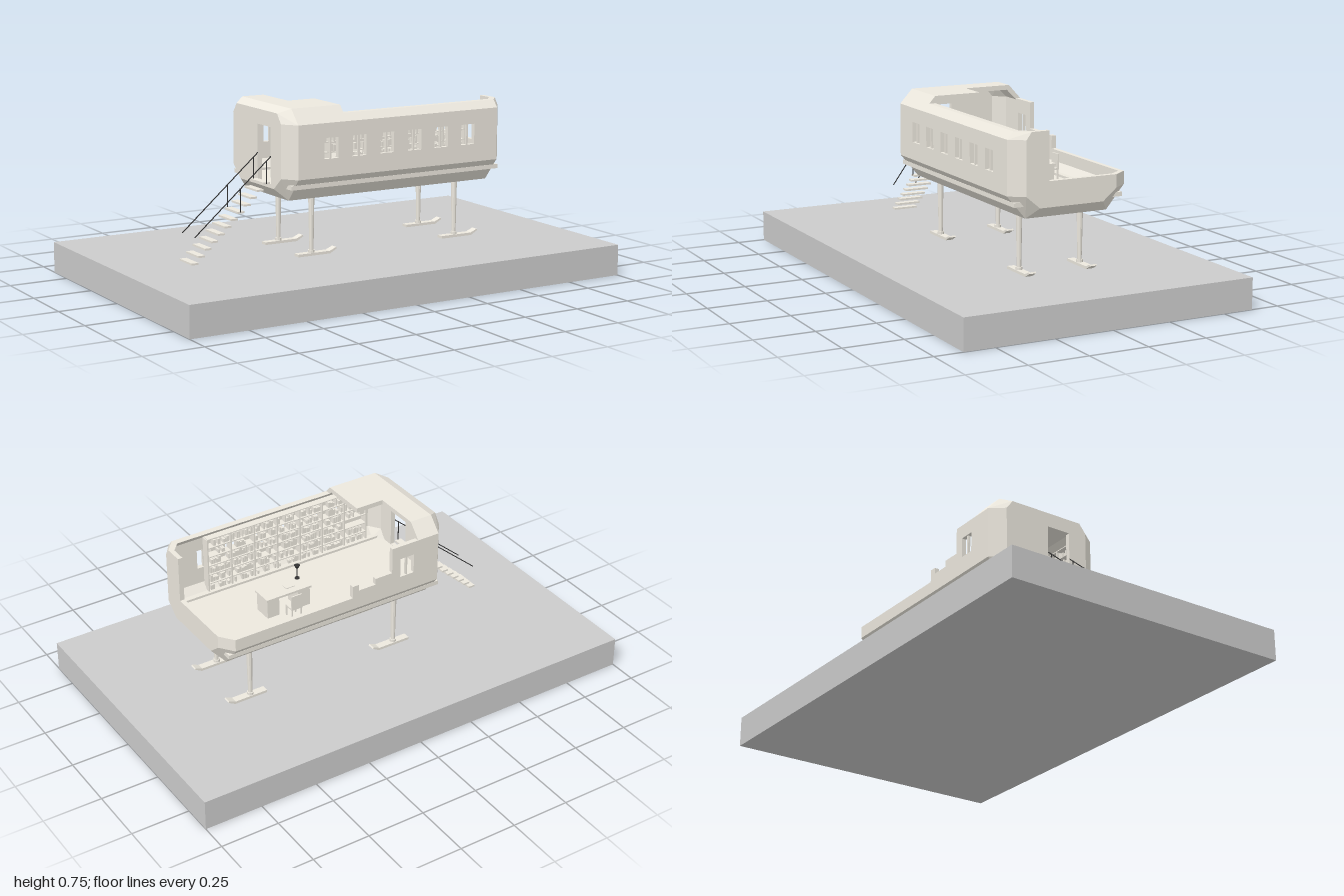
import * as THREE from 'three';
import { mergeGeometries } from 'three/addons/utils/BufferGeometryUtils.js';
import { ConvexGeometry } from 'three/addons/geometries/ConvexGeometry.js';

const mat = (color) => new THREE.MeshStandardMaterial({ color, flatShading: true });
const SHELL = mat(0xece8de), GROUND = mat(0xcccccc), DARK = mat(0x333333);

// Half cross-sections of the cabin as [z, y]: floor edge, wall foot, wall head, roof edge, cut rim, sill
const PROFILE = {
  mid: {
    outer: [[.18, .375], [.26, .47], [.26, .69], [.205, .75], [.2325, .72], [.26, .523]],
    inner: [[.205, .435], [.24, .475], [.24, .685], [.195, .73], [.205, .72], [.24, .523]],
  },
  end: {
    outer: [[.14, .42], [.2, .47], [.2, .69], [.17, .73], [.178, .72], [.2, .523]],
    inner: [[.165, .435], [.19, .475], [.19, .685], [.165, .715], [.165, .72], [.19, .523]],
  },
};
// Stations along x: [outer x, inner x, profile]
const L_END = [-.37, -.35, 'end'], L_MID = [-.325, -.315, 'mid'];
const R_MID = [.635, .625, 'mid'], R_END = [.68, .66, 'end'];
const ROOF_FRONT = [-.1, -.1, 'mid'], ROOF_BACK = [-.225, -.225, 'mid'];

function corners(station, row, side) {
  const [xo, xi, key] = station;
  const [zo, yo] = PROFILE[key].outer[row], [zi, yi] = PROFILE[key].inner[row];
  return [new THREE.Vector3(xo, yo, zo * side), new THREE.Vector3(xi, yi, zi * side)];
}

function shapeOf(points) {
  return new THREE.Shape(points.map(([x, y]) => new THREE.Vector2(x, y)));
}

function rectHole(x0, x1, y0, y1) {
  return new THREE.Path([[x0, y0], [x0, y1], [x1, y1], [x1, y0]].map(([x, y]) => new THREE.Vector2(x, y)));
}

const boxGeo = (x0, x1, y0, y1, z0, z1) => new THREE.BoxGeometry(x1 - x0, y1 - y0, z1 - z0)
  .translate((x0 + x1) / 2, (y0 + y1) / 2, (z0 + z1) / 2);

export function createModel() {
  const model = new THREE.Group();
  const add = (name, geometry, material = SHELL) => {
    const mesh = new THREE.Mesh(geometry, material);
    mesh.name = name;
    model.add(mesh);
    return mesh;
  };
  const box = (name, ...r) => add(name, boxGeo(...r));
  const hull = (name, points) => add(name, new ConvexGeometry(points));
  // Shell panel between two stations and two profile rows on one side
  const panel = (name, side, a, b, i, j) =>
    hull(name, [a, b].flatMap((s) => [i, j].flatMap((row) => corners(s, row, side))));
  const rod = (name, a, b, r, material = SHELL) => {
    const from = new THREE.Vector3(...a), to = new THREE.Vector3(...b), dir = to.clone().sub(from);
    const mesh = add(name, new THREE.CylinderGeometry(r, r, dir.length(), 6), material);
    mesh.position.copy(from).add(to).multiplyScalar(.5);
    mesh.quaternion.setFromUnitVectors(new THREE.Vector3(0, 1, 0), dir.normalize());
  };

  box('ground', -1, 1, 0, .13, -.63, .63).material = GROUND;

  // Floor and lower slopes
  hull('floor', [L_END, L_MID, R_MID, R_END].flatMap((s) => [...corners(s, 0, 1), ...corners(s, 0, -1)]));
  for (const side of [1, -1]) {
    panel('lowerSlope', side, L_MID, R_MID, 0, 1);
    panel('lowerCorner', side, L_END, L_MID, 0, 1);
    panel('lowerCorner', side, R_MID, R_END, 0, 1);
    panel('doorEndCorner', side, L_END, L_MID, 1, 2);
    panel('roofCorner', side, L_END, L_MID, 2, 3);
    const z = side > 0 ? [.19, .24] : [-.24, -.19];
    box('sideLedge', -.345, .655, .427, .445, ...z);
  }
  panel('frontCorner', 1, R_MID, R_END, 1, 2);
  panel('frontCornerRim', 1, R_MID, R_END, 2, 4);
  panel('backCorner', -1, R_MID, R_END, 1, 5);
  panel('frontRim', 1, ROOF_FRONT, R_MID, 2, 4);
  panel('frontRoofChamfer', 1, L_MID, ROOF_FRONT, 2, 3);
  panel('backRoofChamfer', -1, L_MID, ROOF_BACK, 2, 3);

  // Partial roof
  hull('roofEnd', [L_END, L_MID].flatMap((s) => [...corners(s, 3, 1), ...corners(s, 3, -1)]));
  box('roof', -.325, -.225, .73, .75, -.205, .205);
  box('roofExtension', -.225, -.1, .73, .75, 0, .205);

  // Front wall with six windows
  const front = shapeOf([[-.325, .47], [.635, .47], [.635, .69], [-.325, .69]]);
  const mullion = (x, z) => box('windowMullion', x - .004, x + .004, .545, .63, z - .005, z + .005);
  for (let i = 0; i < 6; i++) {
    const x = -.173 + i * .132;
    front.holes.push(rectHole(x - .033, x + .033, .545, .63));
    mullion(x, .25);
  }
  add('frontWall', new THREE.ExtrudeGeometry(front, { depth: .02, bevelEnabled: false }).translate(0, 0, .24));

  // Back wall, stepped down toward the open end
  const back = shapeOf([[-.325, .47], [.635, .47], [.635, .523], [.09, .523], [.09, .577], [.06, .577],
    [.06, .55], [-.02, .55], [-.02, .577], [-.1, .577], [-.1, .69], [-.325, .69]]);
  back.holes.push(rectHole(-.206, -.14, .545, .63));
  mullion(-.173, -.25);
  add('backWall', new THREE.ExtrudeGeometry(back, { depth: .02, bevelEnabled: false }).translate(0, 0, -.26));

  // End walls, drawn in z and y
  const endWall = (name, shape, x) => add(name, new THREE.ExtrudeGeometry(shape, { depth: .02, bevelEnabled: false })
    .rotateY(-Math.PI / 2).translate(x, 0, 0));
  const doorEnd = shapeOf([[-.14, .42], [.14, .42], [.2, .47], [.2, .69], [.17, .73], [-.17, .73], [-.2, .69], [-.2, .47]]);
  doorEnd.holes.push(rectHole(.007, .115, .437, .668));
  endWall('doorWall', doorEnd, -.35);
  endWall('openEndWall', shapeOf([[-.14, .42], [.14, .42], [.2, .47], [.2, .69], [.178, .72], [.1, .72],
    [.1, .523], [-.2, .523], [-.2, .47]]), .68);

  // Legs standing on skis with an upturned tip
  const skiSide = shapeOf([[-.07, .13], [.08, .13], [.112, .148], [.108, .154], [.078, .141], [-.07, .141]]);
  for (const x of [-.195, .505]) for (const z of [-.137, .137]) {
    add('leg', new THREE.CylinderGeometry(.013, .009, .235, 10).translate(x, .2575, z));
    add('legCollar', new THREE.CylinderGeometry(.014, .014, .012, 10).translate(x, .146, z));
    add('ski', new THREE.ExtrudeGeometry(skiSide, { depth: .032, bevelEnabled: false }).translate(x, 0, z - .016));
  }

  // Stairs and handrails
  for (let i = 0; i < 12; i++) {
    const x = -.73 + i * .0296, y = .148 + i * .0267;
    box('stairTread', x, x + .03, y - .004, y + .004, .01, .117);
  }
  for (const z of [.008, .117]) {
    rod('handrail', [-.715, .255, z], [-.37, .55, z], .0022, DARK);
    rod('railPost', [-.51, .335, z], [-.51, .432, z], .0022, DARK);
    rod('railPost', [-.39, .44, z], [-.39, .535, z], .0022, DARK);
  }

  // Bookcase along the front wall
  let seed = 7;
  const rand = () => (seed = (seed * 16807) % 2147483647) / 2147483647;
  const X0 = -.28, X1 = .49, ROWS = 6, BAYS = 7, rowH = .042, bayW = (X1 - X0) / BAYS;
  const frame = [], books = [];
  for (let r = 0; r <= ROWS; r++) {
    const y = .437 + r * rowH;
    frame.push(boxGeo(X0, X1, y, y + .004, .2, .236));
    if (r === ROWS) break;
    for (let b = 0; b < BAYS; b++) {
      let x = X0 + b * bayW + .006;
      const end = X0 + (b + 1) * bayW - .006;
      while (x < end - .01) {
        const w = .005 + rand() * .007;
        if (rand() < .65) books.push(boxGeo(x, x + w, y + .004, y + .02 + rand() * .016, .207, .23));
        x += w + .001;
      }
    }
  }
  for (let b = 0; b <= BAYS; b++) {
    const x = X0 + b * bayW;
    frame.push(boxGeo(x - .003, x + .003, .437, .437 + ROWS * rowH, .2, .236));
  }
  add('bookcase', mergeGeometries(frame));
  add('books', mergeGeometries(books));

  // Desk, chair and lamp
  box('deskTop', .18, .39, .516, .525, -.092, 0);
  for (const x of [.185, .33]) box('deskPedestal', x, x + .055, .435, .516, -.087, -.005);
  box('chairSeat', .26, .31, .48, .487, -.15, -.1);
  box('chairBack', .26, .31, .487, .545, -.15, -.145);
  for (const x of [.262, .304]) for (const z of [-.149, -.106]) box('chairLeg', x, x + .005, .435, .48, z, z + .005);
  box('paper', .24, .28, .525, .528, -.06, -.03);
  add('lampBase', new THREE.CylinderGeometry(.01, .01, .004, 12).translate(.2, .527, -.015), DARK);
  rod('lampStem', [.2, .527, -.015], [.2, .575, -.015], .002, DARK);
  add('lampShade', new THREE.CylinderGeometry(.013, .002, .018, 12).translate(.2, .579, -.015), DARK);

  return model;
}
